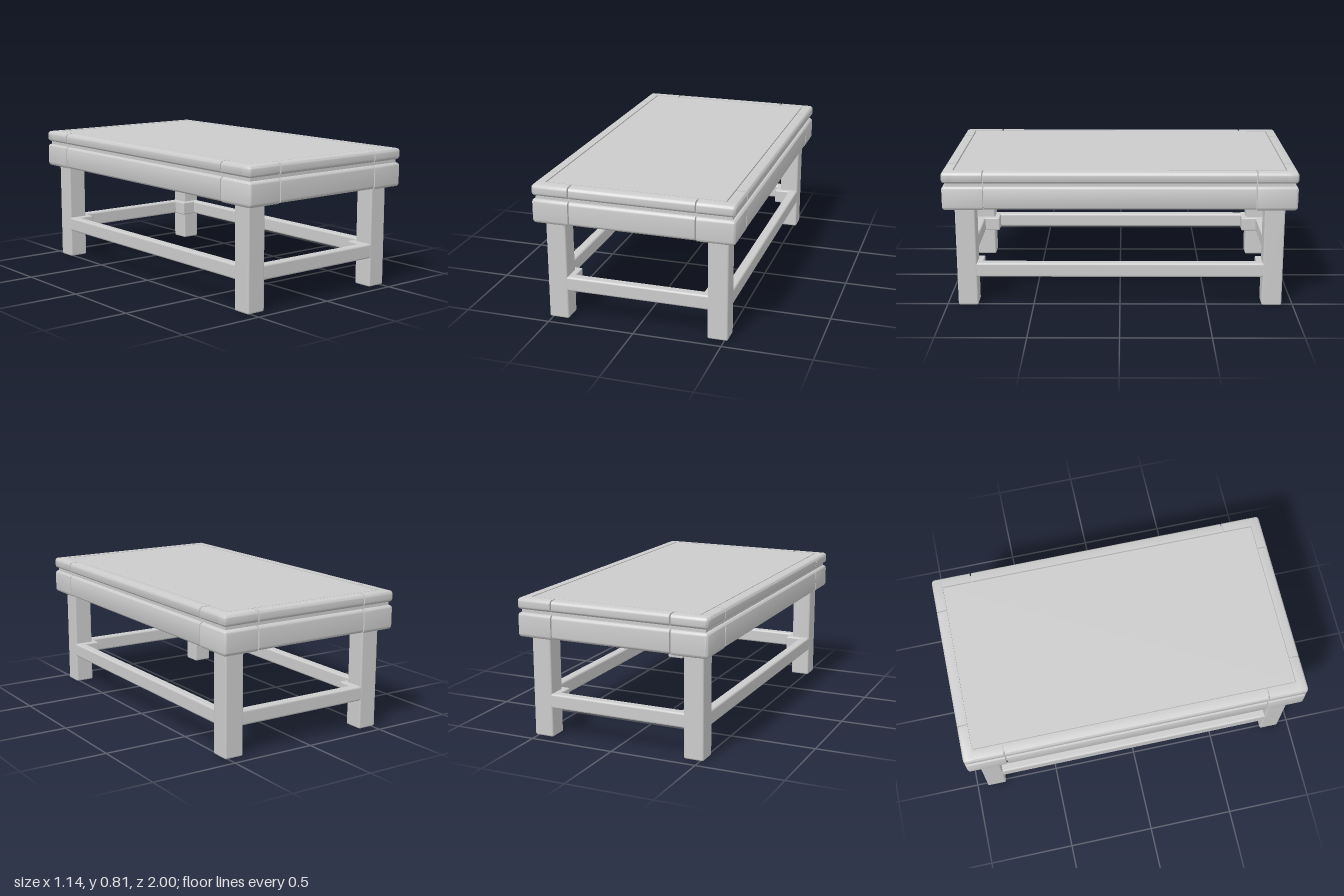
import * as THREE from 'three';
import { RoundedBoxGeometry } from 'three/addons/geometries/RoundedBoxGeometry.js';
import { toCreasedNormals } from 'three/addons/utils/BufferGeometryUtils.js';

const W = 0.57, L = 1; // half width and half length of the top

export function createModel() {
  const group = new THREE.Group();
  const material = new THREE.MeshStandardMaterial({ color: 0xcccccc });

  const add = (name, geometry) => {
    const mesh = new THREE.Mesh(geometry, material);
    mesh.name = name;
    group.add(mesh);
    return mesh;
  };

  // Softened box between two corners
  const box = (name, x0, x1, y0, y1, z0, z1, r = 0.008) => {
    const g = r > 0
      ? new RoundedBoxGeometry(x1 - x0, y1 - y0, z1 - z0, 2, r)
      : new THREE.BoxGeometry(x1 - x0, y1 - y0, z1 - z0);
    g.translate((x0 + x1) / 2, (y0 + y1) / 2, (z0 + z1) / 2);
    return add(name, g);
  };

  // Piece sawn from a full rounded slab: outer edges stay round, cuts are flat
  const cut = (name, y0, y1, x0, x1, z0, z1) => {
    const g = new RoundedBoxGeometry(2 * W, y1 - y0, 2 * L, 3, 0.02);
    g.translate(0, (y0 + y1) / 2, 0);
    const p = g.attributes.position;
    for (let i = 0; i < p.count; i++) {
      p.setX(i, THREE.MathUtils.clamp(p.getX(i), x0, x1));
      p.setZ(i, THREE.MathUtils.clamp(p.getZ(i), z0, z1));
    }
    return add(name, toCreasedNormals(g, 0.6));
  };

  // The same piece given in +x or +z, placed on the chosen side
  const sided = (name, y0, y1, sx, sz, x0, x1, z0, z1) => cut(name, y0, y1,
    sx < 0 ? -x1 : x0, sx < 0 ? -x0 : x1, sz < 0 ? -z1 : z0, sz < 0 ? -z0 : z1);

  const gx = [0.352, 0.36], gz = [0.762, 0.77]; // joint grooves
  const fx = 0.509, fz = 0.939; // inner edge of the top frame
  const low = [0.588, 0.722], high = [0.74, 0.805];

  // Recessed core seen in the joints, and the flush top panel
  box('core', -0.55, 0.55, 0.6, 0.79, -0.98, 0.98, 0);
  box('topPanel', -0.502, 0.502, 0.77, 0.804, -0.932, 0.932, 0);

  // Lower apron
  cut('apronCentre', ...low, -gx[0], gx[0], -L, L);
  for (const s of [-1, 1]) {
    sided('apronSide', ...low, s, 1, gx[0], W, -gz[0], gz[0]);
    // Upper frame bars
    sided('frameEnd', ...high, 1, s, -gx[0], gx[0], fz, L);
    sided('frameSide', ...high, s, 1, fx, W, -gz[0], gz[0]);
  }

  // Corners, legs and the blocks where the rails meet
  for (const sx of [-1, 1]) {
    for (const sz of [-1, 1]) {
      sided('apronCorner', 0.584, low[1], sx, sz, gx[1], W, gz[1], L);
      sided('frameCorner', ...high, sx, sz, gx[1], W, fz, L);
      sided('frameCornerArm', ...high, sx, sz, fx, W, gz[1], fz);
      const span = (s, a, b) => (s < 0 ? [-b, -a] : [a, b]);
      box('leg', ...span(sx, 0.404, 0.519), 0, 0.62, ...span(sz, 0.82, 0.936), 0.01);
      box('railJoint', ...span(sx, 0.372, 0.516), 0.17, 0.255, ...span(sz, 0.788, 0.933));
    }
  }

  // Stretcher rails, flush with the outside of the legs
  for (const s of [-1, 1]) {
    const z = 0.907 * s, x = 0.49 * s, t = 0.028;
    box('endRail', -0.43, 0.43, 0.17, 0.255, z - t, z + t, 0.012);
    box('sideRail', x - t, x + t, 0.17, 0.255, -0.84, 0.84, 0.012);
  }
  return group;
}
